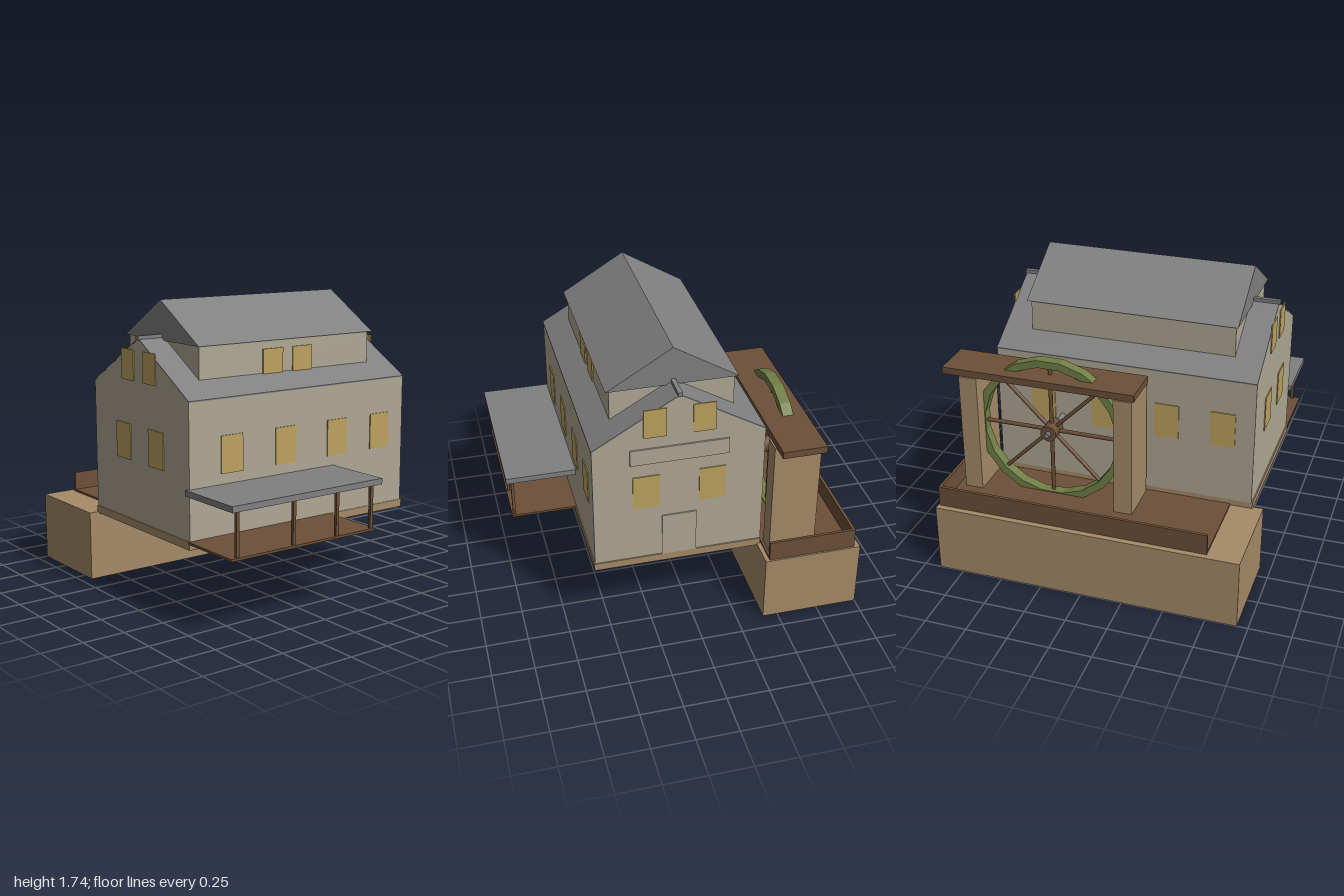
import * as THREE from 'three';

const mat = (name, color) => {
  const m = new THREE.MeshStandardMaterial({ color });
  m.name = name;
  return m;
};

export function createModel() {
  const model = new THREE.Group();
  model.name = 'watermill';
  const wall = mat('plaster', 0xb0a894);
  const stone = mat('tan stone', 0xa58b68);
  const slate = mat('grey slate', 0x808080);
  const wood = mat('brown wood', 0x6c5038);
  const glass = mat('amber glass', 0xbea360);
  const moss = mat('mossy green', 0x717f47);

  const add = (name, geo, material, parent = model) => {
    const mesh = new THREE.Mesh(geo, material);
    mesh.name = name;
    parent.add(mesh);
    return mesh;
  };
  // Box given by its extents on each axis
  const box = (name, material, x0, x1, y0, y1, z0, z1) => {
    const mesh = add(name, new THREE.BoxGeometry(x1 - x0, y1 - y0, z1 - z0), material);
    mesh.position.set((x0 + x1) / 2, (y0 + y1) / 2, (z0 + z1) / 2);
    return mesh;
  };
  // Outline in x and y, extruded from z0 to z1
  const prism = (name, material, points, z0, z1) => {
    const shape = new THREE.Shape(points.map(([x, y]) => new THREE.Vector2(x, y)));
    const geo = new THREE.ExtrudeGeometry(shape, { depth: z1 - z0, bevelEnabled: false });
    geo.translate(0, 0, z0);
    return add(name, geo, material);
  };

  // Mill race base and wooden trough
  box('raceBase', stone, -1, -0.41, 0, 0.42, -0.9, 0.935);
  box('troughFloor', wood, -0.965, -0.435, 0.42, 0.432, -0.89, 0.74);
  box('troughSide', wood, -0.965, -0.947, 0.43, 0.545, -0.89, 0.74);
  box('troughEnd', wood, -0.947, -0.435, 0.43, 0.545, -0.89, -0.873);

  // House body and main roof
  box('foundation', stone, -0.43, 0.58, 0.41, 0.457, -0.72, 0.872);
  prism('houseWalls', wall, [[-0.43, 0.457], [0.575, 0.457], [0.575, 1.232], [0.0725, 1.526], [-0.43, 1.232]],
    -0.713, 0.865);
  prism('mainRoof', slate, [[-0.432, 1.23], [0.0725, 1.525], [0.577, 1.23], [0.577, 1.237], [0.0725, 1.532], [-0.432, 1.237]],
    -0.714, 0.866);
  box('ridgeBeam', slate, 0.059, 0.086, 1.52, 1.545, -0.72, 0.875);

  // Raised roof storey
  box('upperWalls', wall, -0.29, 0.435, 1.3, 1.51, -0.54, 0.7);
  prism('upperRoof', slate, [[-0.312, 1.508], [0.457, 1.508], [0.0725, 1.74]], -0.56, 0.715);

  // Windows on the gable ends
  for (const x of [-0.102, 0.245]) box('frontWindow', glass, x - 0.078, x + 0.078, 0.81, 1.025, 0.863, 0.871);
  for (const x of [-0.043, 0.185]) box('frontUpperWindow', glass, x - 0.066, x + 0.066, 1.28, 1.46, 0.863, 0.871);
  for (const x of [-0.122, 0.267]) box('backWindow', glass, x - 0.078, x + 0.078, 0.81, 1.025, -0.719, -0.711);
  for (const x of [-0.07, 0.215]) box('backUpperWindow', glass, x - 0.066, x + 0.066, 1.28, 1.46, -0.719, -0.711);

  // Windows along the long sides, turned half round for the far side
  for (const z of [0.58, 0.2, -0.185, -0.522]) {
    box('leftWindow', glass, 0.573, 0.581, 0.81, 1.025, z - 0.074, z + 0.074);
    const r = 0.155 - z;
    box('rightWindow', glass, -0.436, -0.428, 0.81, 1.025, r - 0.074, r + 0.074);
  }
  for (const z of [0.187, -0.03]) box('upperSideWindow', glass, 0.433, 0.442, 1.28, 1.46, z - 0.072, z + 0.072);

  // Back door and plain board
  box('backDoor', wall, -0.03, 0.175, 0.457, 0.735, -0.721, -0.712);
  box('backBoard', wall, -0.215, 0.36, 1.11, 1.21, -0.723, -0.712);

  // Porch
  box('porchFloor', wood, 0.572, 0.975, 0.444, 0.458, -0.135, 0.875);
  box('porchRoof', slate, 0.562, 1, 0.715, 0.75, -0.162, 0.885);
  for (const z of [0.827, 0.447, 0.14, -0.115])
    box('porchPost', wood, 0.95, 0.968, 0.455, 0.717, z - 0.01, z + 0.01);

  // Wheel house: two piers with a plank across
  box('rearPier', stone, -0.73, -0.45, 0.42, 1.165, -0.828, -0.718);
  box('frontPier', stone, -0.73, -0.45, 0.42, 1.165, 0.115, 0.225);
  box('pierCap', wood, -0.72, -0.46, 1.165, 1.207, -0.935, 0.235);

  // Water wheel, built in its own plane and turned to run along x
  const wheel = new THREE.Group();
  wheel.name = 'waterWheel';
  const rimShape = new THREE.Shape();
  const hole = new THREE.Path();
  const sides = 20;
  for (let i = 0; i < sides; i++) {
    const a = ((i + 0.5) / sides) * Math.PI * 2;
    const c = Math.cos(a), s = Math.sin(a);
    if (i) {
      rimShape.lineTo(c * 0.458, s * 0.458);
      hole.lineTo(c * 0.412, s * 0.412);
    } else {
      rimShape.moveTo(c * 0.458, s * 0.458);
      hole.moveTo(c * 0.412, s * 0.412);
    }
  }
  rimShape.closePath();
  hole.closePath();
  rimShape.holes.push(hole);
  const rim = new THREE.ExtrudeGeometry(rimShape, { depth: 0.065, bevelEnabled: false });
  rim.translate(0, 0, -0.0325);
  add('wheelRim', rim, moss, wheel);
  for (let i = 0; i < 8; i++) {
    const spoke = new THREE.CylinderGeometry(0.012, 0.012, 0.4, 6);
    spoke.translate(0, 0.22, 0);
    add('spoke', spoke, wood, wheel).rotation.z = (i * Math.PI) / 4;
  }
  add('hub', new THREE.CylinderGeometry(0.05, 0.05, 0.12, 10).rotateX(Math.PI / 2), wood, wheel);
  add('axle', new THREE.CylinderGeometry(0.017, 0.017, 0.27, 10).rotateX(Math.PI / 2).translate(0, 0, 0.05), slate, wheel);
  wheel.rotation.y = Math.PI / 2;
  wheel.position.set(-0.612, 0.845, -0.305);
  model.add(wheel);

  return model;
}
